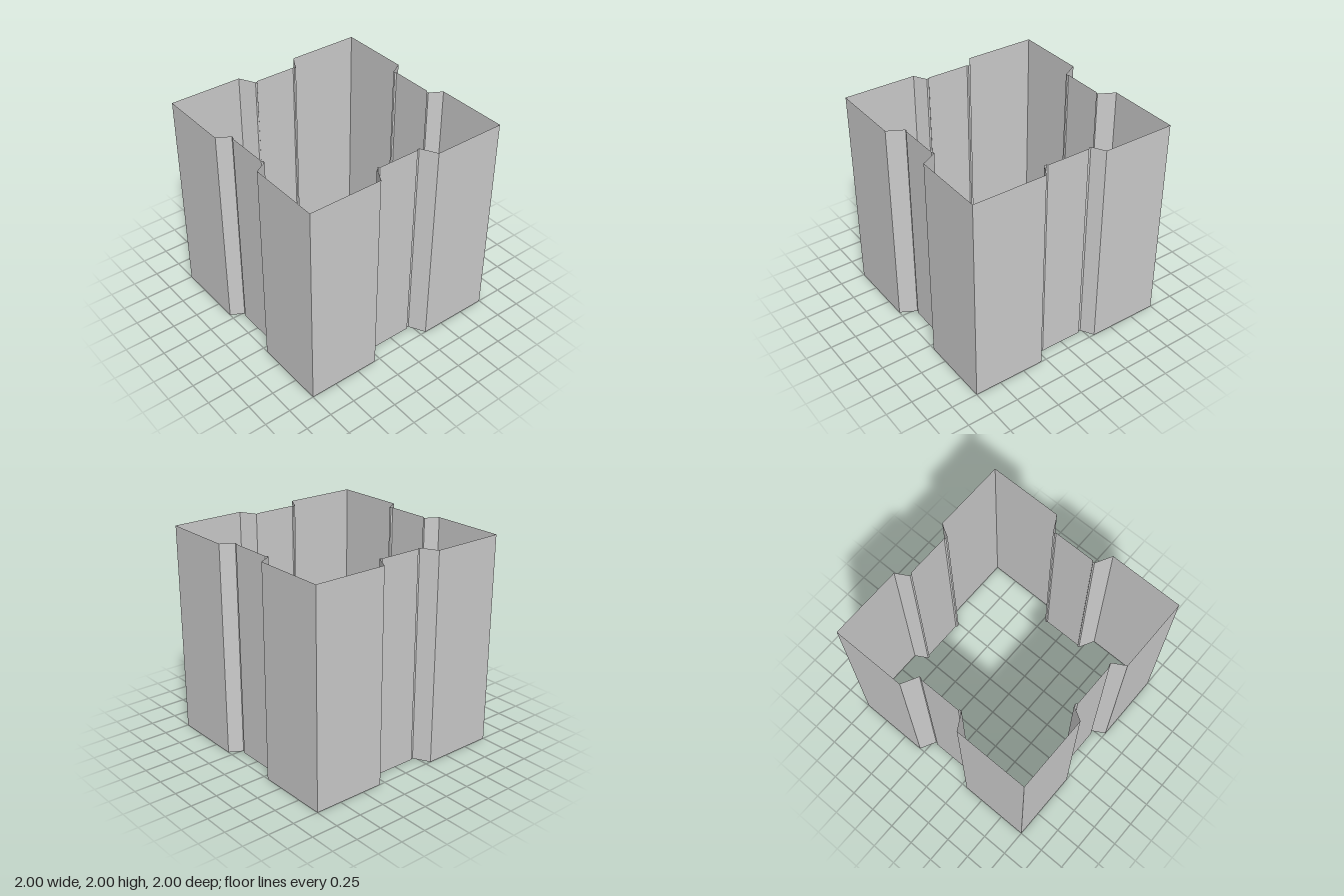
import * as THREE from 'three';

const HEIGHT = 2;
const HALF = 1;

// Half of a grooved wall: [distance from the middle, recess depth], corner to middle.
const FRONT_BACK = [[1, 0], [0.305, 0], [0.225, 0.15], [0.207, 0.15], [0.2, 0.14]];
const SIDES = [[1, 0], [0.305, 0], [0.237, 0.12], [0.217, 0.12], [0.208, 0.107]];

// Thin upright sheet facing +z, following the mirrored profile.
function wallGeometry(half) {
  const profile = [
    ...half.map(([u, d]) => [-u, HALF - d]),
    ...half.slice().reverse().map(([u, d]) => [u, HALF - d]),
  ];
  const positions = [];
  for (let i = 0; i < profile.length - 1; i++) {
    const [ax, az] = profile[i];
    const [bx, bz] = profile[i + 1];
    positions.push(
      ax, 0, az, bx, 0, bz, bx, HEIGHT, bz,
      ax, 0, az, bx, HEIGHT, bz, ax, HEIGHT, az,
    );
  }
  const geometry = new THREE.BufferGeometry();
  geometry.setAttribute('position', new THREE.Float32BufferAttribute(positions, 3));
  geometry.computeVertexNormals();
  return geometry;
}

export function createModel() {
  const group = new THREE.Group();
  group.name = 'groovedSquareTube';
  const material = new THREE.MeshStandardMaterial({
    color: 0xcccccc, flatShading: true, side: THREE.DoubleSide,
  });

  // Four walls, open at top and bottom
  const walls = [
    ['frontWall', FRONT_BACK], ['leftWall', SIDES],
    ['backWall', FRONT_BACK], ['rightWall', SIDES],
  ];
  walls.forEach(([name, half], i) => {
    const wall = new THREE.Mesh(wallGeometry(half), material);
    wall.name = name;
    wall.rotation.y = (i * Math.PI) / 2;
    group.add(wall);
  });
  return group;
}
